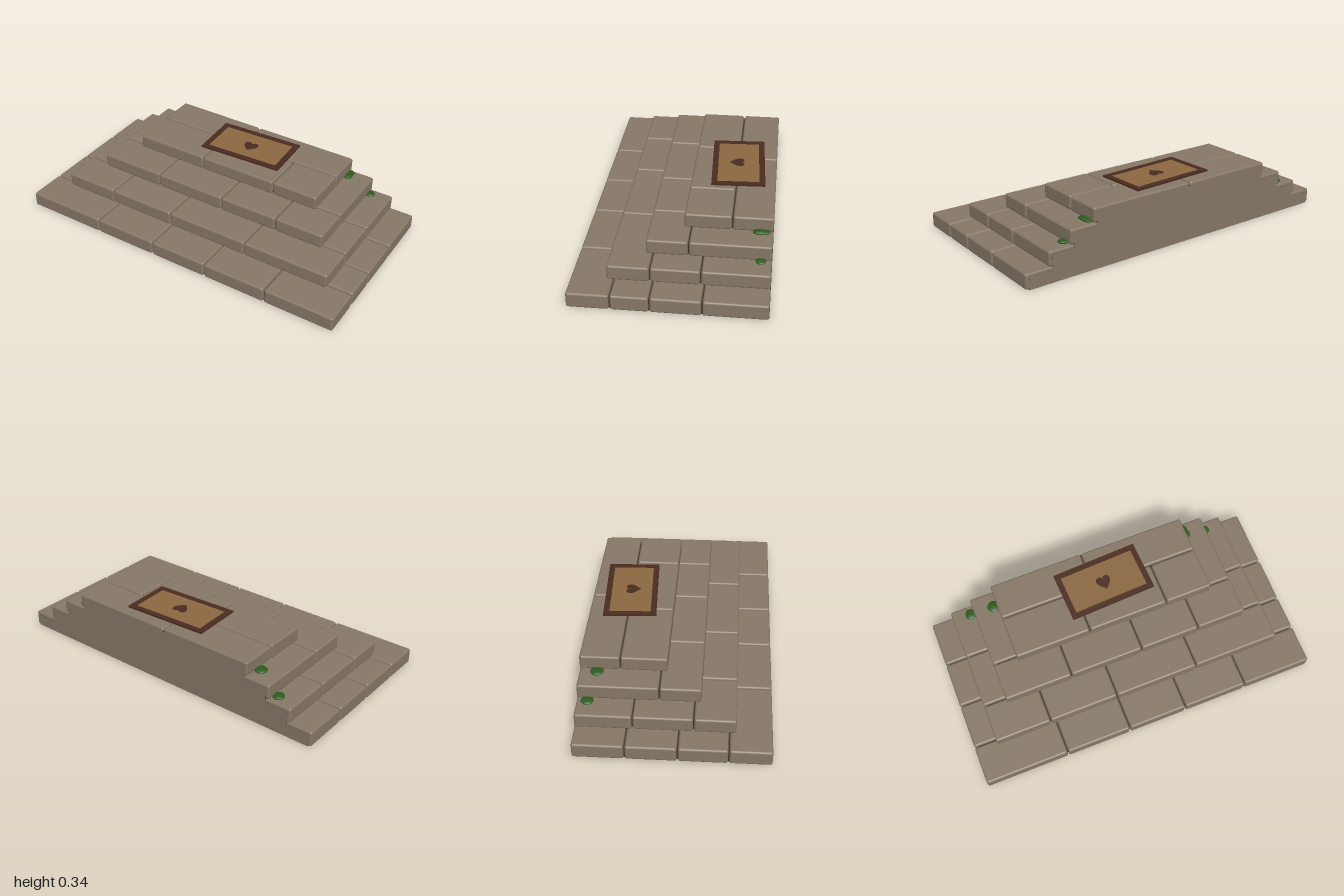
import * as THREE from 'three';
import { RoundedBoxGeometry } from 'three/addons/geometries/RoundedBoxGeometry.js';

const mat = (name, color) => new THREE.MeshStandardMaterial({ name, color });

export function createModel() {
  const stone = mat('stone', 0x857766);
  const mortar = mat('mortar', 0x3f372e);
  const weave = mat('mat weave', 0x8b6840);
  const border = mat('mat border', 0x4a2c20);
  const moss = mat('moss', 0x2d5a1e);
  const root = new THREE.Group();
  root.name = 'stoneSteps';

  const BACK = -0.51, GAP = 0.007;

  function add(parent, name, geometry, material, x = 0, y = 0, z = 0) {
    const mesh = new THREE.Mesh(geometry, material);
    mesh.name = name;
    mesh.position.set(x, y, z);
    parent.add(mesh);
    return mesh;
  }

  // One rounded stone filling the given bounds
  function block(parent, name, x0, x1, y0, y1, z0, z1) {
    add(parent, name, new RoundedBoxGeometry(x1 - x0, y1 - y0, z1 - z0, 3, 0.012), stone,
      (x0 + x1) / 2, (y0 + y1) / 2, (z0 + z1) / 2);
  }

  // Joints of each tier: along the front (x), and down each side (z, front to back)
  const tiers = [
    { y0: 0.002, y1: 0.088, x0: -0.997, x1: 0.997, front: 0.511,
      frontCuts: [-0.51, -0.13, 0.215, 0.59], left: [0.29, 0.09, -0.175], right: [0.29, 0.03, -0.24] },
    { y0: 0.087, y1: 0.17, x0: -0.867, x1: 0.86, front: 0.325,
      frontCuts: [-0.54, -0.135, 0.355], left: [0.105, -0.155], right: [0.105, -0.21] },
    { y0: 0.17, y1: 0.253, x0: -0.735, x1: 0.73, front: 0.14,
      frontCuts: [-0.34, 0.09, 0.44], left: [-0.08], right: [-0.08] },
    { y0: 0.254, y1: 0.335, x0: -0.597, x1: 0.59, front: -0.045,
      frontCuts: [-0.155, 0.315], left: [-0.295], right: [-0.295], backCuts: [-0.04] },
  ];

  tiers.forEach((t, i) => {
    const tier = new THREE.Group();
    tier.name = 'tier' + (i + 1);
    root.add(tier);

    // Core: dark in the joints, plain stone on the back and underside
    const inset = 0.02;
    const bottom = i ? t.y0 - 0.025 : 0, top = t.y1 - inset;
    const z1 = t.front - inset;
    add(tier, 'core', new THREE.BoxGeometry(t.x1 - t.x0 - 2 * inset, top - bottom, z1 - BACK),
      [mortar, mortar, mortar, stone, mortar, stone],
      (t.x0 + t.x1) / 2, (top + bottom) / 2, (z1 + BACK) / 2);

    // Row of stones across the tier
    const row = (name, cuts, z0, zf) => {
      const xs = [t.x0, ...cuts, t.x1];
      for (let k = 0; k < xs.length - 1; k++) {
        block(tier, name, xs[k] + (k ? GAP / 2 : 0), xs[k + 1] - (k < xs.length - 2 ? GAP / 2 : 0),
          t.y0, t.y1, z0, zf);
      }
    };
    row('frontStone', t.frontCuts, t.left[0] + GAP / 2, t.front);

    if (t.backCuts) {
      row('backStone', t.backCuts, BACK, t.left[0] - GAP / 2);
      return;
    }
    // Stones running back along both sides
    for (const [name, cuts, xa, xb] of [
      ['leftStone', t.left, t.x1 - 0.2, t.x1], ['rightStone', t.right, t.x0, t.x0 + 0.2]]) {
      const zs = [...cuts, BACK + 0.001];
      for (let k = 0; k < zs.length - 1; k++) {
        const end = k < zs.length - 2 ? GAP / 2 : 0;
        block(tier, name, xa, xb, t.y0, t.y1, zs[k + 1] + end, zs[k] - GAP / 2);
      }
    }
  });

  // Doormat with raised border and a heart
  const doormat = new THREE.Group();
  doormat.name = 'doormat';
  doormat.position.set(0.023, 0.335, -0.294);
  doormat.rotation.y = 0.045;
  root.add(doormat);
  const W = 0.505, D = 0.295, B = 0.032;
  add(doormat, 'matField', new THREE.BoxGeometry(W - B, 0.007, D - B), weave, 0, 0.0035, 0);
  for (const s of [-1, 1]) {
    add(doormat, 'matLongEdge', new THREE.BoxGeometry(W, 0.01, B), border, 0, 0.005, s * (D - B) / 2);
    add(doormat, 'matShortEdge', new THREE.BoxGeometry(B, 0.01, D - 2 * B), border, s * (W - B) / 2, 0.005, 0);
  }
  const heart = new THREE.Shape();
  heart.moveTo(0, -0.045);
  heart.bezierCurveTo(0.015, -0.025, 0.042, -0.012, 0.042, 0.015);
  heart.bezierCurveTo(0.042, 0.042, 0.008, 0.045, 0, 0.022);
  heart.bezierCurveTo(-0.008, 0.045, -0.042, 0.042, -0.042, 0.015);
  heart.bezierCurveTo(-0.042, -0.012, -0.015, -0.025, 0, -0.045);
  const heartMesh = add(doormat, 'heart',
    new THREE.ExtrudeGeometry(heart, { depth: 0.003, bevelEnabled: false, curveSegments: 8 }),
    border, 0, 0.006, 0.006);
  heartMesh.rotation.x = -Math.PI / 2;

  // Flattened moss clumps: x, y, z, then half sizes
  const clumps = [
    [-0.757, 0.176, -0.452, 0.033, 0.011, 0.034],
    [-0.617, 0.259, -0.415, 0.036, 0.011, 0.036],
    [0.603, 0.262, -0.435, 0.024, 0.011, 0.034],
    [0.598, 0.261, -0.465, 0.026, 0.009, 0.03],
    [0.74, 0.177, -0.452, 0.03, 0.01, 0.028],
  ];
  for (const [x, y, z, a, b, c] of clumps) {
    add(root, 'mossClump', new THREE.SphereGeometry(1, 14, 10), moss, x, y, z).scale.set(a, b, c);
  }
  return root;
}
